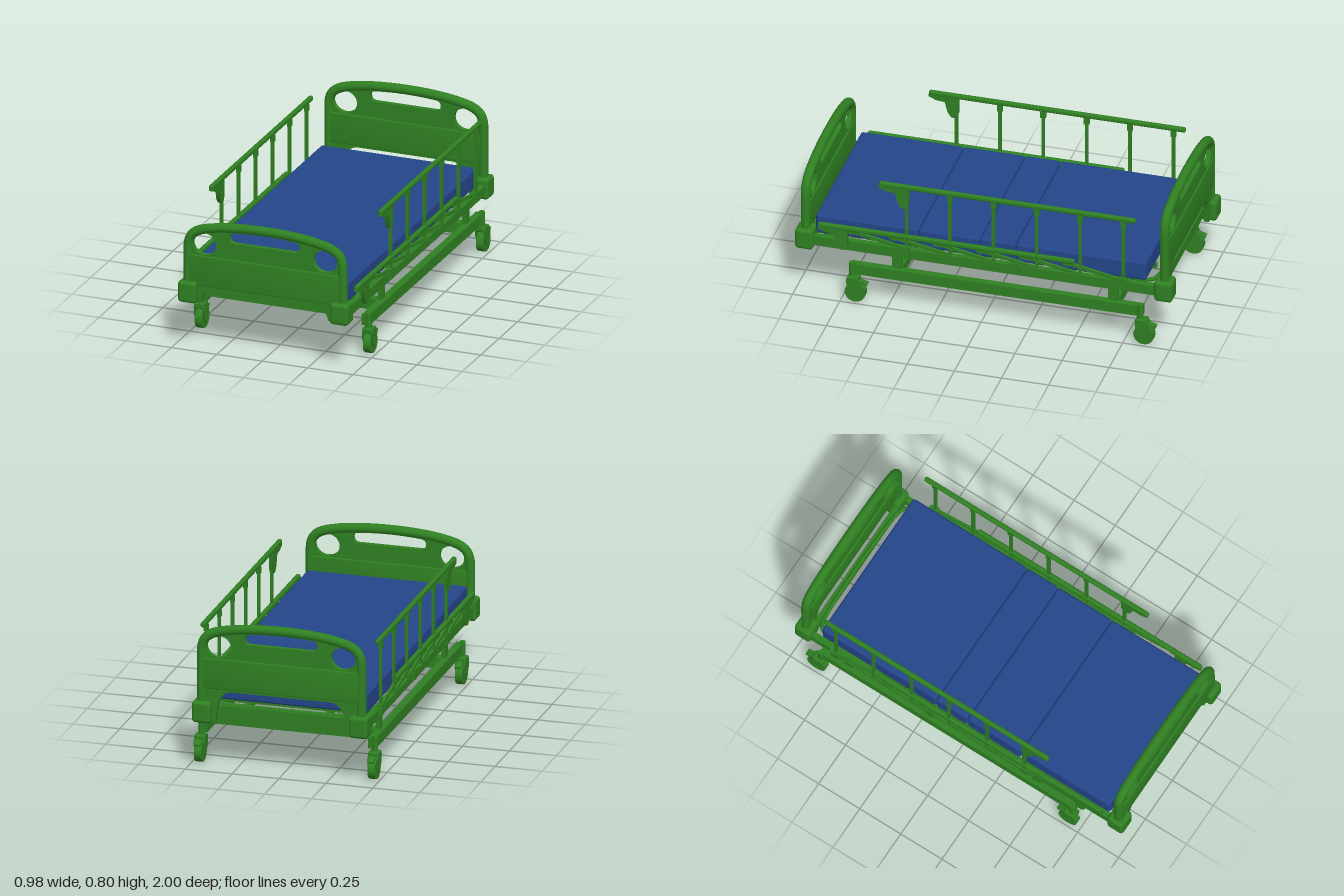
import * as THREE from 'three';
import { RoundedBoxGeometry } from 'three/addons/geometries/RoundedBoxGeometry.js';
import { toCreasedNormals } from 'three/addons/utils/BufferGeometryUtils.js';

const green = new THREE.MeshStandardMaterial({ color: 0x2f8022 });
const blue = new THREE.MeshStandardMaterial({ color: 0x24458a });
const V = (x, y, z) => new THREE.Vector3(x, y, z);

function add(parent, name, geo, x = 0, y = 0, z = 0, mat = green) {
  const m = new THREE.Mesh(geo, mat);
  m.name = name;
  m.position.set(x, y, z);
  parent.add(m);
  return m;
}
const box = (w, h, d) => new THREE.BoxGeometry(w, h, d);

// box given by its ranges on the three axes
function span(parent, name, [x0, x1], [y0, y1], [z0, z1]) {
  return add(parent, name, box(Math.abs(x1 - x0), y1 - y0, Math.abs(z1 - z0)), (x0 + x1) / 2, (y0 + y1) / 2, (z0 + z1) / 2);
}

// extrusion centred on its own depth
function slab(shape, depth, bevel = 0) {
  const g = new THREE.ExtrudeGeometry(shape, {
    depth: depth - 2 * bevel, bevelEnabled: bevel > 0, bevelSize: bevel, bevelOffset: -bevel,
    bevelThickness: bevel, bevelSegments: 3, curveSegments: 20,
  });
  g.translate(0, 0, -depth / 2 + bevel);
  return toCreasedNormals(g, 0.6);
}

// profile in the z-y plane, extruded across x
function sideSlab(points, depth) {
  const s = new THREE.Shape(points.map(([z, y]) => new THREE.Vector2(z, y)));
  return slab(s, depth).rotateY(-Math.PI / 2);
}

// end board: arched tube, panel with hand holes, corner bumpers
function endBoard(name, lift) {
  const g = new THREE.Group();
  g.name = name;
  const half = [[0.425, 0.54], [0.423, 0.575], [0.408, 0.615], [0.37, 0.645], [0.28, 0.67], [0.15, 0.686]];
  const pts = [[0.425, 0.27 - lift], [0.425, 0.4], ...half, [0, 0.691]].map(([x, y]) => V(x, y + lift, 0));
  const all = [...pts, ...pts.slice(0, -1).reverse().map((p) => V(-p.x, p.y, 0))];
  const curve = new THREE.CatmullRomCurve3(all, false, 'centripetal');
  add(g, 'archTube', new THREE.TubeGeometry(curve, 120, 0.025, 14));

  const arch = curve.getPoints(100);
  const s = new THREE.Shape(arch.map((p) => new THREE.Vector2(p.x, p.y)));
  const b = 0.34 + lift;
  s.lineTo(-0.35, 0.26);
  s.bezierCurveTo(-0.34, b - 0.03, -0.31, b, -0.25, b);
  s.lineTo(0.25, b);
  s.bezierCurveTo(0.31, b, 0.34, b - 0.03, 0.35, 0.26);
  s.closePath();
  for (const k of [1, -1]) {
    const h = new THREE.Path();
    h.absellipse(k * 0.332, 0.58 + lift, 0.066, 0.06, 0, Math.PI * 2, false);
    s.holes.push(h);
  }
  const y0 = 0.604 + lift, y1 = 0.669 + lift;
  const slot = new THREE.Path();
  slot.moveTo(-0.165, y0).lineTo(0.165, y0).quadraticCurveTo(0.194, y0, 0.194, y0 + 0.03);
  slot.quadraticCurveTo(0.194, y1 - 0.012, 0.17, y1 - 0.008).quadraticCurveTo(0, y1 + 0.009, -0.17, y1 - 0.008);
  slot.quadraticCurveTo(-0.194, y1 - 0.012, -0.194, y0 + 0.03).quadraticCurveTo(-0.194, y0, -0.165, y0);
  s.holes.push(slot);
  add(g, 'panel', slab(s, 0.028));

  // thicker lower half of the panel
  const low = new THREE.Shape();
  low.moveTo(-0.425, b + 0.01).lineTo(0.425, b + 0.01).lineTo(0.425, 0.515 + lift).lineTo(-0.425, 0.515 + lift);
  add(g, 'lowerPanel', slab(low, 0.042, 0.006));

  for (const k of [1, -1]) add(g, 'cornerBumper', new RoundedBoxGeometry(0.1, 0.115, 0.096, 4, 0.018), k * 0.418, 0.312, 0);
  return g;
}

// parallelogram side rail: shift moves the handrail along z while the posts swing down
function sideRail(name, x, shift, drop) {
  const g = new THREE.Group();
  g.name = name;
  add(g, 'handrail', new RoundedBoxGeometry(0.025, 0.027, 1.36, 3, 0.01), x, 0.717 - drop, -0.13 + shift);
  const grip = [[0.55, 0.715], [0.55, 0.698], [0.51, 0.682], [0.465, 0.678], [0.45, 0.62], [0.43, 0.592], [0.405, 0.592], [0.392, 0.62], [0.392, 0.715]];
  add(g, 'latchGrip', sideSlab(grip, 0.022), x, -drop, shift);
  for (let i = 0; i < 6; i++) {
    const z = 0.405 - 0.23 * i;
    const a = V(x, 0.35, z), b = V(x, 0.71 - drop, z + shift);
    const len = a.distanceTo(b), tilt = Math.atan2(b.z - a.z, b.y - a.y);
    const post = new THREE.Group();
    post.name = 'post';
    post.position.copy(a);
    post.rotation.x = tilt;
    add(post, 'postBar', box(0.014, len, 0.016), 0, len / 2, 0);
    add(post, 'postCollar', box(0.019, 0.035, 0.028), 0, len - 0.025, 0);
    g.add(post);
  }
  return g;
}

function caster(x, z) {
  const g = new THREE.Group();
  g.name = 'caster';
  g.position.set(x, 0, z);
  const wheel = new THREE.CylinderGeometry(0.054, 0.054, 0.038, 32).rotateZ(Math.PI / 2);
  add(g, 'wheel', toCreasedNormals(wheel, 0.6), 0, 0.054, 0);
  add(g, 'hub', new THREE.CylinderGeometry(0.02, 0.02, 0.058, 20).rotateZ(Math.PI / 2), 0, 0.054, 0);
  const cheek = [[-0.018, 0.04], [0.015, 0.04], [0.04, 0.08], [0.045, 0.125], [0.035, 0.142], [-0.01, 0.142], [-0.03, 0.11]];
  for (const k of [1, -1]) add(g, 'forkCheek', sideSlab(cheek, 0.007), k * 0.024, 0, 0);
  add(g, 'forkCrown', new RoundedBoxGeometry(0.055, 0.03, 0.062, 3, 0.008), 0, 0.129, 0.012);
  const pedal = add(g, 'brakePedal', box(0.034, 0.01, 0.05), 0, 0.112, -0.04);
  pedal.rotation.x = -0.3;
  add(g, 'stem', new THREE.CylinderGeometry(0.0155, 0.0155, 0.09, 20), 0, 0.178, 0.02);
  return g;
}

export function createModel() {
  const bed = new THREE.Group();
  bed.name = 'hospitalBed';

  // end boards
  const head = endBoard('headboard', 0.087);
  head.position.z = -0.952;
  const foot = endBoard('footboard', 0);
  foot.position.z = 0.952;
  bed.add(head, foot);

  // four mattress sections
  const cuts = [-0.855, -0.16, 0.03, 0.355, 0.9];
  for (let i = 0; i < 4; i++) {
    const d = cuts[i + 1] - cuts[i] - 0.003;
    add(bed, 'mattressSection', new RoundedBoxGeometry(0.855, 0.107, d, 3, 0.014), 0, 0.397, (cuts[i] + cuts[i + 1]) / 2, blue);
  }

  // bed frame
  const frame = new THREE.Group();
  frame.name = 'bedFrame';
  bed.add(frame);
  for (const k of [1, -1]) {
    span(frame, 'sideRailBeam', [k * 0.422, k * 0.455], [0.285, 0.338], [-0.93, 0.93]);
    span(frame, 'innerBeam', [k * 0.2, k * 0.225], [0.3, 0.328], [-0.85, 0.88]);
    span(frame, 'endBeam', [-0.43, 0.43], [0.285, 0.338], [k * 0.905, k * 0.935]);
  }
  for (const z of [-0.68, -0.16, 0.03, 0.46]) span(frame, 'crossBeam', [-0.43, 0.43], [0.288, 0.325], [z - 0.018, z + 0.018]);
  for (let i = 0; i < 20; i++) span(frame, 'slat', [-0.4, 0.4], [0.328, 0.344], [-0.83 + i * 0.088, -0.775 + i * 0.088]);

  // rounded mattress retaining hoop at each end
  for (const k of [1, -1]) {
    const hoop = [[0.405, 0.78], [0.405, 0.84], [0.385, 0.88], [0.34, 0.898]];
    const path = [...hoop, ...hoop.slice().reverse().map(([x, z]) => [-x, z])].map(([x, z]) => V(x, 0.338, k * z));
    add(frame, 'retainingHoop', new THREE.TubeGeometry(new THREE.CatmullRomCurve3(path, false, 'centripetal'), 60, 0.011, 8));
  }

  // wheeled base
  const base = new THREE.Group();
  base.name = 'base';
  bed.add(base);
  for (const k of [1, -1]) {
    span(base, 'baseBeam', [k * 0.428, k * 0.468], [0.155, 0.213], [-0.845, 0.705]);
    for (const z of [0.463, -0.682]) span(base, 'liftPost', [k * 0.426, k * 0.448], [0.2, 0.295], [z - 0.024, z + 0.024]);
    for (const z of [0.675, -0.855]) base.add(caster(k * 0.463, z));
  }
  for (const z of [0.463, -0.682]) span(base, 'baseCrossBeam', [-0.44, 0.44], [0.155, 0.213], [z - 0.025, z + 0.025]);

  // side rails: one raised and one folded set per side, on a mounting strip
  for (const k of [1, -1]) {
    const name = k > 0 ? 'left' : 'right';
    bed.add(sideRail(name + 'RaisedRail', k * 0.465, 0, 0));
    bed.add(sideRail(name + 'FoldedRail', k * 0.465, 0.325, 0.297));
    span(bed, 'railMountStrip', [k * 0.452, k * 0.476], [0.334, 0.352], [-0.78, 0.47]);
    for (const z of [0.405, -0.17, -0.745]) span(bed, 'railClamp', [k * 0.452, k * 0.478], [0.308, 0.365], [z - 0.02, z + 0.02]);
  }
  return bed;
}
